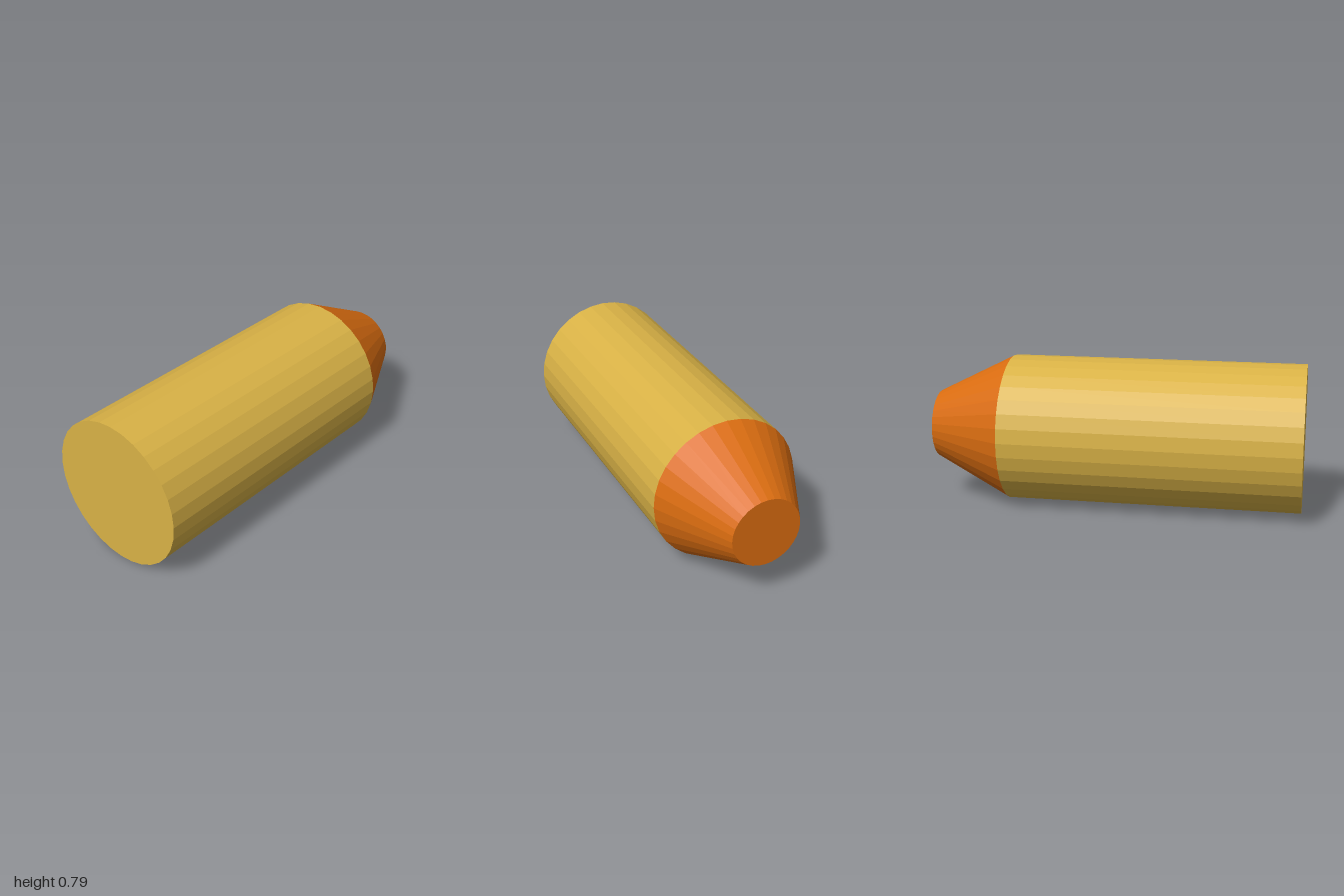
import * as THREE from 'three';

const SIDES = 32;
const RADIUS = 0.395;
const SHOULDER = 0.58; // x where the straight body meets the taper

export function createModel() {
  const model = new THREE.Group();
  model.name = 'taperedCylinder';

  // Capped section lying along x, from x0 to x1
  const addSection = (name, x0, x1, r0, r1, color) => {
    const geometry = new THREE.CylinderGeometry(r1, r0, x1 - x0, SIDES);
    geometry.rotateZ(-Math.PI / 2);
    const material = new THREE.MeshStandardMaterial({ color, flatShading: true });
    const mesh = new THREE.Mesh(geometry, material);
    mesh.name = name;
    mesh.position.set((x0 + x1) / 2, 0.397, 0);
    model.add(mesh);
  };

  // Straight gold body
  addSection('body', -1, SHOULDER, RADIUS, RADIUS, 0xd9b246);
  // Orange truncated cone with a flat end
  addSection('taperedTip', SHOULDER, 1, RADIUS, 0.185, 0xd96c10);

  return model;
}
